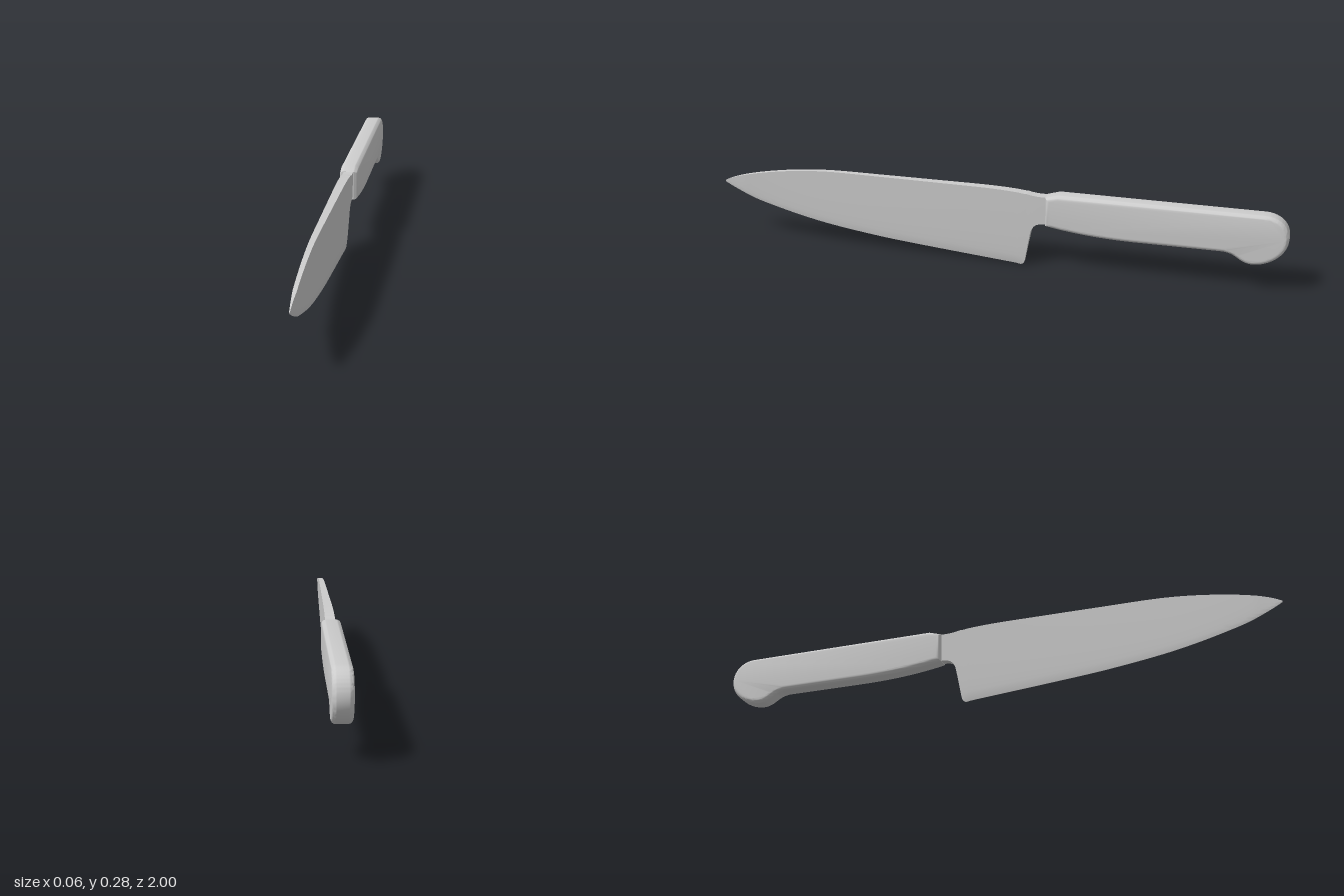
import * as THREE from 'three';
import { toCreasedNormals } from 'three/addons/utils/BufferGeometryUtils.js';

const material = new THREE.MeshStandardMaterial({ color: 0xcccccc });

// Blade stations: [z, spine height, underside height]
const STATIONS = [
  [1, 0.205, 0.199], [0.96, 0.222, 0.178], [0.89, 0.241, 0.147], [0.8, 0.258, 0.12],
  [0.7, 0.271, 0.095], [0.6, 0.278, 0.075], [0.4, 0.279, 0.047], [0.2, 0.279, 0.028],
  [0, 0.278, 0.011], [-0.08, 0.274, 0.004], [-0.098, 0.272, 0.002], [-0.108, 0.271, 0.01],
  [-0.115, 0.271, 0.04], [-0.126, 0.269, 0.1], [-0.137, 0.267, 0.142],
  [-0.155, 0.265, 0.16], [-0.21, 0.264, 0.166],
];
const ROWS = 10;

// Loft of wedge sections: thick at the spine, thin at the cutting edge
function bladeGeometry() {
  const curve = new THREE.CatmullRomCurve3(STATIONS.map((s) => new THREE.Vector3(...s)), false, 'centripetal');
  const stations = curve.getPoints((STATIONS.length - 1) * 6);
  const positions = [], index = [];
  const ring = 2 * (ROWS + 1);
  for (const { x: z, y: top, z: bottom } of stations) {
    const edge = z > -0.098 ? bottom : 0.002;
    const spine = 0.0175 - 0.0115 * THREE.MathUtils.clamp((z + 0.19) / 1.14, 0, 1);
    const half = spine * Math.min(1, 0.2 + (1 - z) / 0.1);
    const width = (y) => half * (0.05 + 0.95 * Math.sqrt(Math.max(0, (y - edge) / (top - edge))));
    for (let i = 0; i < ring; i++) {
      const right = i > ROWS;
      const t = (right ? ring - 1 - i : i) / ROWS;
      const y = THREE.MathUtils.lerp(bottom, top, t * t * 0.5 + t * 0.5);
      positions.push((right ? -1 : 1) * width(y), y, z);
    }
  }
  for (let s = 0; s < stations.length - 1; s++) {
    for (let i = 0; i < ring; i++) {
      const a = s * ring + i, b = s * ring + (i + 1) % ring;
      index.push(a, b, a + ring, b, b + ring, a + ring);
    }
  }
  // Close the tip and the hidden end inside the handle
  const last = (stations.length - 1) * ring;
  for (let i = 1; i < ring - 1; i++) {
    index.push(0, i + 1, i, last, last + i, last + i + 1);
  }
  // Faces wind outward once each triangle is reversed
  for (let i = 0; i < index.length; i += 3) [index[i + 1], index[i + 2]] = [index[i + 2], index[i + 1]];
  const geometry = new THREE.BufferGeometry();
  geometry.setAttribute('position', new THREE.Float32BufferAttribute(positions, 3));
  geometry.setIndex(index);
  return toCreasedNormals(geometry, 0.6);
}

// Side outline with a hooked butt, extruded across x with soft edges
function handleGeometry() {
  const bevel = 0.015, half = 0.032;
  const shape = new THREE.Shape();
  // Drawn inset by the bevel, in (z, y)
  shape.moveTo(-0.2, 0.254);
  shape.lineTo(-0.2, 0.175);
  shape.bezierCurveTo(-0.3, 0.157, -0.4, 0.151, -0.5, 0.151);
  shape.lineTo(-0.78, 0.152);
  shape.bezierCurveTo(-0.84, 0.152, -0.845, 0.118, -0.885, 0.116);
  shape.bezierCurveTo(-0.935, 0.116, -0.985, 0.155, -0.985, 0.2);
  shape.bezierCurveTo(-0.985, 0.24, -0.955, 0.263, -0.915, 0.263);
  shape.lineTo(-0.23, 0.263);
  shape.closePath();
  const geometry = new THREE.ExtrudeGeometry(shape, {
    depth: 2 * (half - bevel), bevelEnabled: true, bevelSize: bevel,
    bevelThickness: bevel, bevelSegments: 6, curveSegments: 20,
  });
  geometry.translate(0, 0, bevel - half);
  geometry.rotateY(-Math.PI / 2);
  return toCreasedNormals(geometry, 0.7);
}

export function createModel() {
  const group = new THREE.Group();
  group.name = 'kitchenKnife';
  const parts = { blade: bladeGeometry(), handle: handleGeometry() };
  for (const [name, geometry] of Object.entries(parts)) {
    const mesh = new THREE.Mesh(geometry, material);
    mesh.name = name;
    group.add(mesh);
  }
  return group;
}
